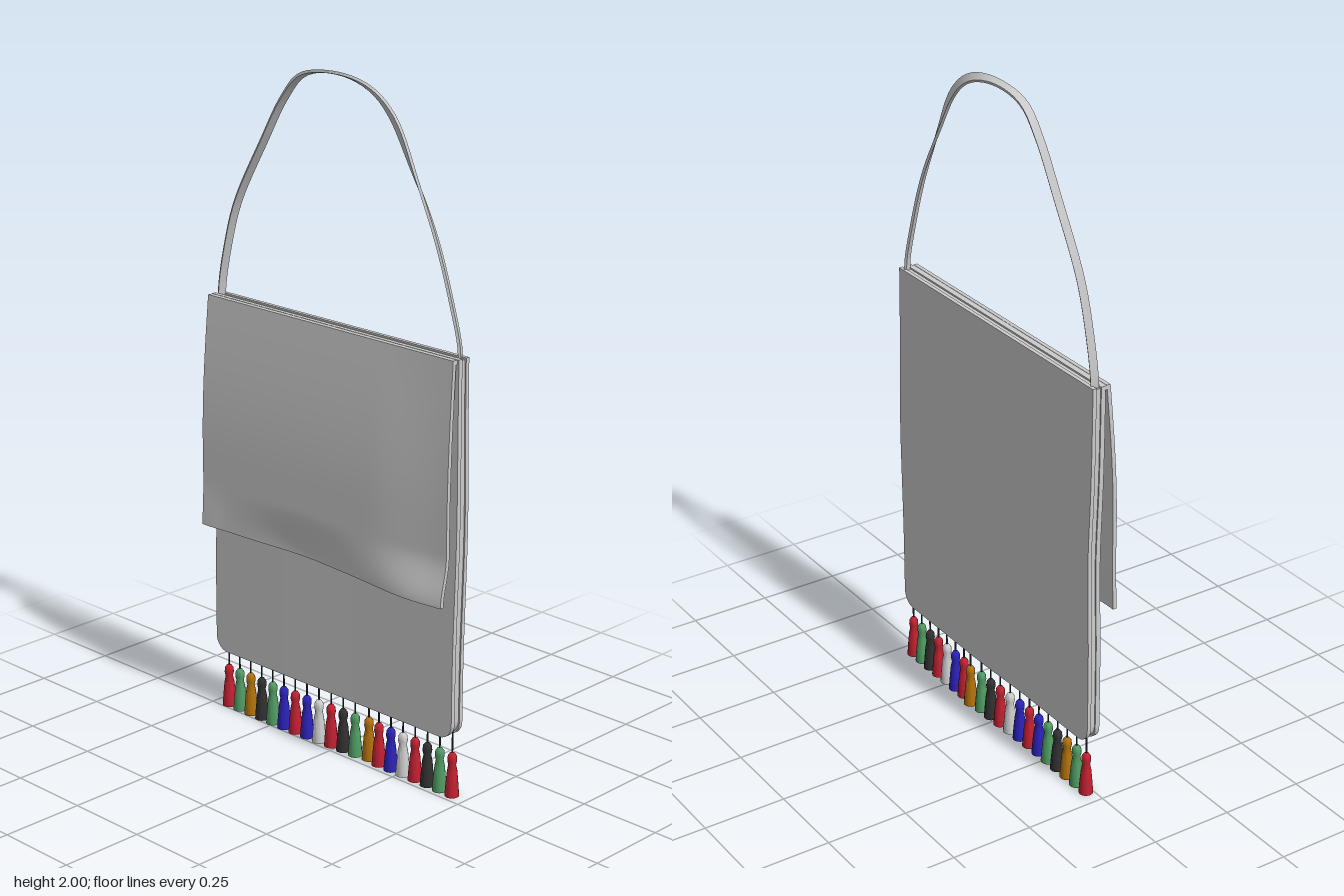
import * as THREE from 'three';
import { toCreasedNormals } from 'three/addons/utils/BufferGeometryUtils.js';

const grey = new THREE.MeshStandardMaterial({ color: 0xcccccc });
const TOP = 1.29, BOTTOM = 0.182;
const bump = (v, mid, width) => Math.exp(-(((v - mid) / width) ** 2));
const { smoothstep } = THREE.MathUtils;

function add(group, name, geometry, material = grey) {
  const mesh = new THREE.Mesh(geometry, material);
  mesh.name = name;
  group.add(mesh);
  return mesh;
}

// A finely divided upright sheet whose vertices are moved by a rule.
function sheet(thickness, yLow, yHigh, rule) {
  const geo = new THREE.BoxGeometry(thickness, 1, 2, 1, 40, 32);
  const pos = geo.attributes.position;
  const v = new THREE.Vector3();
  for (let i = 0; i < pos.count; i++) {
    v.fromBufferAttribute(pos, i);
    const t = v.y + 0.5; // rows gather towards the lower edge
    v.y = yLow + (yHigh - yLow) * t ** 1.8;
    rule(v);
    pos.setXYZ(i, v.x, v.y, v.z);
  }
  geo.computeVertexNormals();
  return geo;
}

// Body layer: rounded lower corners, slightly wavy sides and a gentle belly.
function bodyLayer(thickness, x, inset, yHigh, belly) {
  const r = 0.045;
  return sheet(thickness, BOTTOM + inset, yHigh, v => {
    const d = Math.min(v.y - BOTTOM - inset, r);
    const corner = r - Math.sqrt(Math.max(0, r * r - (r - d) ** 2));
    const low = smoothstep(TOP - v.y, 0.4, 0.95);
    const half = v.z > 0 ? 0.48 - 0.01 * low : 0.477 - 0.01 * bump(v.y, 0.75, 0.2);
    v.z *= half - corner - inset;
    const down = smoothstep(TOP - v.y, 0, 0.6);
    v.x += x + belly * down * smoothstep(v.z, -0.2, 0.1);
  });
}

// Flap: hangs away from the back, its lower edge curling out at one corner.
function flapGeometry() {
  return sheet(0.012, 0.595, TOP, v => {
    v.z *= 0.475;
    const u = (TOP - v.y) / (TOP - 0.595);
    const q = smoothstep(u, 0.8, 1);
    const billow = 0.03 - 0.014 * smoothstep(v.z, 0.2, 0.475) * (1 - q);
    v.x += -0.012 - billow * Math.sin(Math.min(u * 2.4, Math.PI / 2));
    v.x -= q * 0.018 * bump(v.z, 0.34, 0.14);
    v.x += q * 0.016 * bump(v.z, -0.08, 0.18);
    v.x -= q * 0.006 * bump(v.z, -0.46, 0.06);
  });
}

// Flat strap swept along an arch, wider and more twisted at one shoulder.
function strapGeometry() {
  const curve = new THREE.CatmullRomCurve3([
    [0.455, 1.22], [0.463, 1.3], [0.43, 1.43], [0.37, 1.6], [0.29, 1.76], [0.21, 1.9],
    [0.13, 1.963], [0, 1.99], [-0.13, 1.968], [-0.2, 1.895], [-0.28, 1.765],
    [-0.39, 1.57], [-0.432, 1.44], [-0.46, 1.3], [-0.458, 1.22],
  ].map(([z, y]) => new THREE.Vector3(0.023, y, z)));
  const n = 80, ht = 0.004;
  const pos = [], index = [];
  for (let i = 0; i <= n; i++) {
    const t = i / n;
    const p = curve.getPointAt(t), tan = curve.getTangentAt(t);
    const out = new THREE.Vector3(1, 0, 0).cross(tan);
    const shoulder = bump(t, 0.36, 0.1);
    const angle = -0.5 - 0.6 * shoulder + 0.35 * bump(t, 0.53, 0.07);
    const hw = 0.011 + 0.007 * shoulder;
    const c = Math.cos(angle), s = Math.sin(angle);
    for (const [a, b] of [[-hw, -ht], [hw, -ht], [hw, ht], [-hw, ht]]) {
      const side = a * c - b * s, up = a * s + b * c;
      pos.push(p.x + side, p.y + out.y * up, p.z + out.z * up);
    }
  }
  for (let i = 0; i < n; i++) {
    for (let k = 0; k < 4; k++) {
      const a = i * 4 + k, b = i * 4 + (k + 1) % 4;
      index.push(a, a + 4, b, b, a + 4, b + 4);
    }
  }
  const e = n * 4;
  index.push(0, 1, 2, 0, 2, 3, e, e + 2, e + 1, e, e + 3, e + 2);
  const geo = new THREE.BufferGeometry();
  geo.setAttribute('position', new THREE.Float32BufferAttribute(pos, 3));
  geo.setIndex(index);
  return toCreasedNormals(geo, 0.6);
}

export function createModel() {
  const bag = new THREE.Group();
  bag.name = 'shoulderBag';

  // Two panels with a slightly recessed layer between them
  add(bag, 'frontPanel', bodyLayer(0.012, 0.034, 0, TOP, 0.008));
  add(bag, 'backPanel', bodyLayer(0.014, 0.006, 0, TOP, 0.003));
  add(bag, 'gusset', bodyLayer(0.024, 0.02, 0.004, TOP - 0.005, 0.005));

  // Flap and the fold that joins it to the back panel
  add(bag, 'flap', flapGeometry());
  const fold = add(bag, 'flapFold', new THREE.BoxGeometry(0.026, 0.012, 0.95));
  fold.position.set(-0.003, TOP - 0.007, 0);

  add(bag, 'strap', strapGeometry());

  // Row of coloured tassels on short cords
  const colors = {
    r: 0xc02030, g: 0x4f9a62, k: 0x303030, w: 0xcccccc, b: 0x2a22b8, o: 0xb0700c,
  };
  const materials = {};
  for (const key in colors) {
    materials[key] = new THREE.MeshStandardMaterial({ color: colors[key] });
  }
  const profile = [
    [0, 0], [0.021, 0], [0.019, 0.03], [0.015, 0.075], [0.011, 0.095],
    [0.014, 0.108], [0.013, 0.122], [0.007, 0.131], [0, 0.133],
  ].map(([x, y]) => new THREE.Vector2(x, y));
  const tasselGeo = toCreasedNormals(new THREE.LatheGeometry(profile, 14), 0.8);
  const cordGeo = new THREE.CylinderGeometry(0.0025, 0.0025, 0.075, 6);
  [...'rgkrwbrogkrwbrbgkogr'].forEach((key, i) => {
    const tassel = new THREE.Group();
    tassel.name = 'tassel';
    add(tassel, 'tasselSkirt', tasselGeo, materials[key]);
    add(tassel, 'tasselCord', cordGeo, materials.k).position.y = 0.165;
    const z = 0.45 - i * 0.0472;
    const x = 0.02 + 0.011 * smoothstep(z, -0.2, 0.1) + 0.008 * bump(z, 0.12, 0.02);
    tassel.position.set(x, 0, z);
    bag.add(tassel);
  });
  return bag;
}
